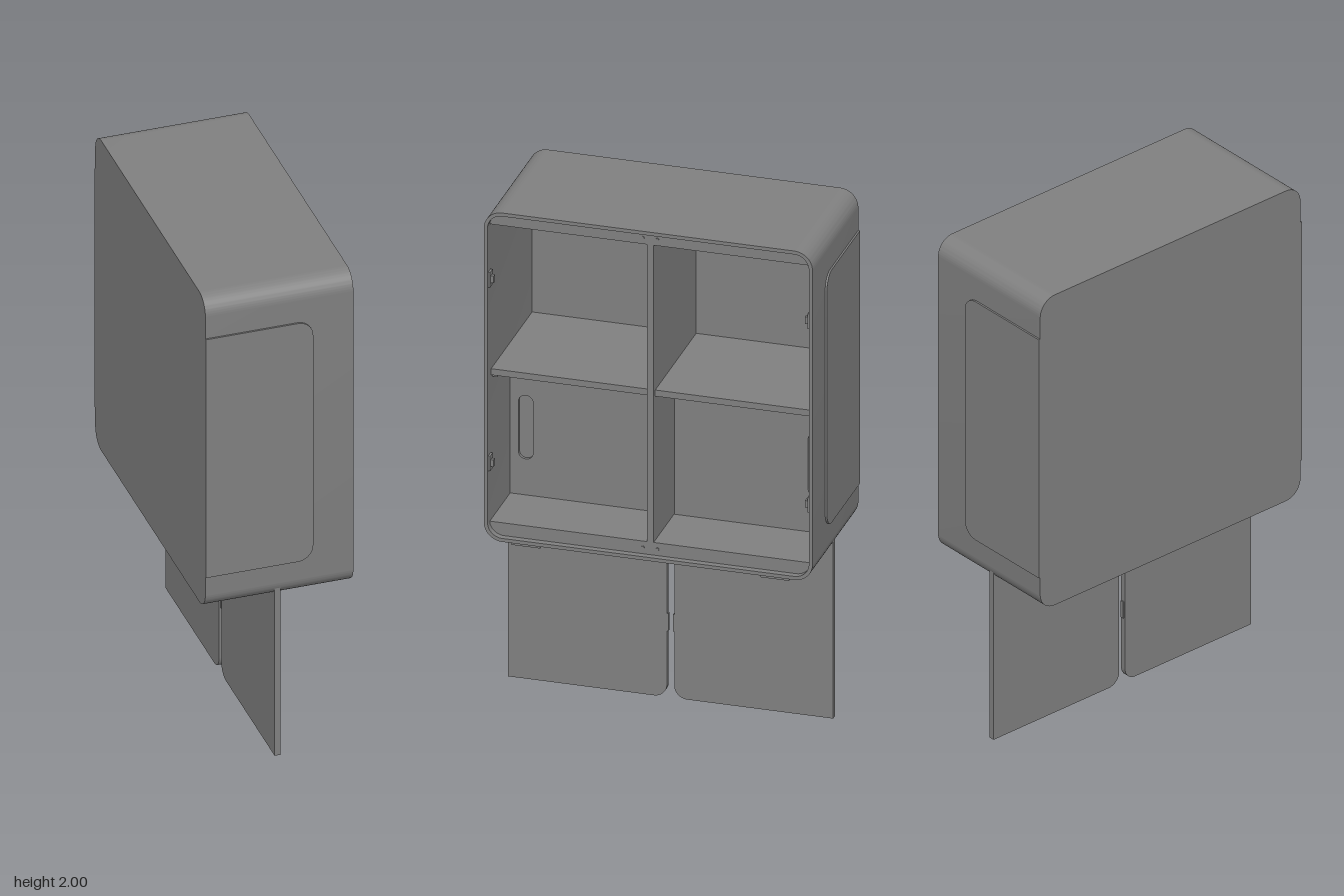
import * as THREE from 'three';
import { toCreasedNormals } from 'three/addons/utils/BufferGeometryUtils.js';

const grey = new THREE.MeshStandardMaterial({ color: 0x808080 });
grey.name = 'grey';

// Rounded rectangle; r = corner radii [low-left, low-right, top-right, top-left]
function rounded(Type, x0, y0, x1, y1, [a, b, c, d]) {
  const s = new Type();
  s.moveTo(x0 + a, y0);
  s.lineTo(x1 - b, y0);
  if (b) s.absarc(x1 - b, y0 + b, b, -Math.PI / 2, 0);
  s.lineTo(x1, y1 - c);
  if (c) s.absarc(x1 - c, y1 - c, c, 0, Math.PI / 2);
  s.lineTo(x0 + d, y1);
  if (d) s.absarc(x0 + d, y1 - d, d, Math.PI / 2, Math.PI);
  s.lineTo(x0, y0 + a);
  if (a) s.absarc(x0 + a, y0 + a, a, Math.PI, Math.PI * 1.5);
  return s;
}

function extrude(shape, depth) {
  const g = new THREE.ExtrudeGeometry(shape, { depth, bevelEnabled: false, curveSegments: 12 });
  return toCreasedNormals(g, 0.5);
}

export function createModel() {
  const model = new THREE.Group();
  model.name = 'wallCabinet';

  const add = (name, geometry, parent = model) => {
    const mesh = new THREE.Mesh(geometry, grey);
    mesh.name = name;
    parent.add(mesh);
    return mesh;
  };
  const box = (name, x0, x1, y0, y1, z0, z1, parent) => {
    const mesh = add(name, new THREE.BoxGeometry(x1 - x0, y1 - y0, z1 - z0), parent);
    mesh.position.set((x0 + x1) / 2, (y0 + y1) / 2, (z0 + z1) / 2);
    return mesh;
  };
  // Slab drawn in the side plane (shape x = -z) and extruded along +x
  const sideSlab = (name, shape, x0, x1, parent) => {
    const mesh = add(name, extrude(shape, x1 - x0).rotateY(Math.PI / 2), parent);
    mesh.position.x = x0;
    return mesh;
  };

  // Wrapped outer shell and closed back
  const r = 0.07;
  const shell = rounded(THREE.Shape, -0.627, 0.675, 0.627, 2, [r, r, r, r]);
  const q = r - 0.014;
  shell.holes.push(rounded(THREE.Path, -0.613, 0.689, 0.613, 1.986, [q, q, q, q]));
  sideSlab('shell', shell, -0.27, 0.285);
  sideSlab('backPanel', rounded(THREE.Shape, -0.627, 0.675, 0.627, 2, [r, r, r, r]), -0.285, -0.27);

  // Inner floor, ceiling, divider and shelves
  sideSlab('floor', rounded(THREE.Shape, -0.612, 0.688, 0.612, 0.74, [0.05, 0.05, 0, 0]), -0.27, 0.26);
  sideSlab('ceiling', rounded(THREE.Shape, -0.612, 1.94, 0.612, 1.987, [0, 0, 0.05, 0.05]), -0.27, 0.26);
  box('divider', -0.27, 0.26, 0.74, 1.94, -0.013, 0.013);

  for (const s of [1, -1]) {
    const span = (near, far) => (s > 0 ? [near, far] : [-far, -near]);

    box('shelf', -0.27, 0.24, 1.32, 1.345, ...span(0.013, 0.613));
    box('shelfSupport', -0.27, 0.22, 1.305, 1.32, ...span(0.595, 0.613));
    box('foot', -0.26, 0.26, 0.656, 0.676, ...span(0.42, 0.53));

    // Hinges on the inner side walls
    for (const y of [0.98, 1.72]) {
      box('hingePlate', 0.245, 0.278, y - 0.03, y + 0.03, ...span(0.605, 0.613));
      box('hingeKnuckle', 0.255, 0.272, y - 0.014, y + 0.014, ...span(0.594, 0.605));
    }
    // Screw heads on the rails
    for (const y of [0.715, 1.962]) {
      const screw = add('screw', new THREE.CylinderGeometry(0.006, 0.006, 0.004, 12));
      screw.rotation.z = -Math.PI / 2;
      screw.position.set(0.262, y, s * 0.028);
    }

    // Thin raised panel wrapping round each outer side
    const c = 0.06;
    const panel = add('sidePanel', extrude(
      rounded(THREE.Shape, -0.285, 0.82, 0.128, 1.838, [0, c, c, 0]), 0.008));
    panel.position.z = s > 0 ? 0.626 : -0.634;

    // Lowered door with a recessed grip
    const door = new THREE.Group();
    door.name = s > 0 ? 'leftDoor' : 'rightDoor';
    model.add(door);
    const [z0, z1] = span(0.014, 0.62);
    const radii = s > 0 ? [0, 0.05, 0.05, 0] : [0.05, 0, 0, 0.05];
    const outline = () => rounded(THREE.Shape, -z1, 0, -z0, 1.3, radii);
    const face = outline();
    const [g0, g1] = span(0.525, 0.58);
    face.holes.push(rounded(THREE.Path, -g1, 0.885, -g0, 1.14, [0.026, 0.026, 0.026, 0.026]));
    sideSlab('doorFace', face, -0.006, 0.006, door);
    sideSlab('doorBack', outline(), -0.016, -0.006, door);
    box('latch', -0.01, 0.004, 0.265, 0.335, ...span(0.009, 0.015), door);
  }
  return model;
}
